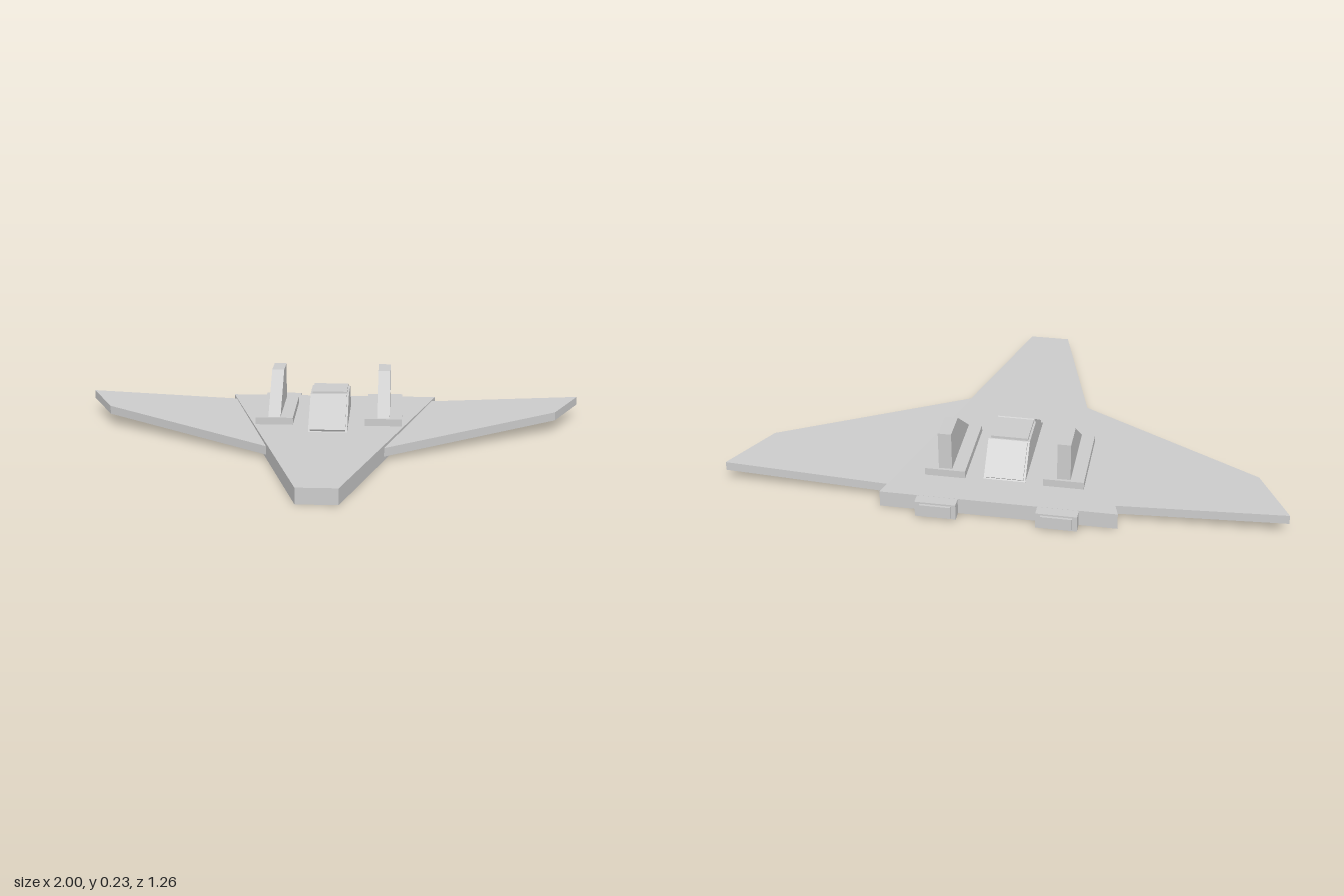
import * as THREE from 'three';

const material = new THREE.MeshStandardMaterial({ color: 0xcccccc, flatShading: true, side: THREE.DoubleSide });

function addPart(group, name, geometry) {
  const mesh = new THREE.Mesh(geometry, material);
  mesh.name = name;
  group.add(mesh);
  return mesh;
}

const outline = (points) => new THREE.Shape(points.map(([a, b]) => new THREE.Vector2(a, b)));

// Plan outline given as [x, z], thickened upwards from height y
function plate(points, y, thickness) {
  const shape = outline(points.map(([x, z]) => [x, -z]));
  return new THREE.ExtrudeGeometry(shape, { depth: thickness, bevelEnabled: false })
    .rotateX(-Math.PI / 2).translate(0, y, 0);
}

// Side outline given as [z, y], thickened across x around a centre
function sideProfile(points, centre, width) {
  return new THREE.ExtrudeGeometry(outline(points), { depth: width, bevelEnabled: false })
    .translate(0, 0, -width / 2).rotateY(-Math.PI / 2).translate(centre, 0, 0);
}

function box(x0, x1, y0, y1, z0, z1) {
  return new THREE.BoxGeometry(x1 - x0, y1 - y0, z1 - z0)
    .translate((x0 + x1) / 2, (y0 + y1) / 2, (z0 + z1) / 2);
}

export function createModel() {
  const model = new THREE.Group();
  model.name = 'deltaAircraft';

  addPart(model, 'fuselage', plate([[-0.075, 0.63], [0.075, 0.63], [0.42, -0.585], [-0.42, -0.585]], 0, 0.06));

  // Canopy body with raised window panels on its three upper faces
  const roof = [[-0.038, 0.06], [-0.205, 0.167], [-0.345, 0.167], [-0.445, 0.06]];
  const canopy = new THREE.Group();
  canopy.name = 'canopy';
  model.add(canopy);
  addPart(canopy, 'canopyBody', sideProfile(roof, 0, 0.15));
  ['windscreen', 'roofPanel', 'rearWindow'].forEach((name, i) => {
    const a = new THREE.Vector2(...roof[i]);
    const b = new THREE.Vector2(...roof[i + 1]);
    const along = b.clone().sub(a).normalize();
    const out = new THREE.Vector2(along.y, -along.x).multiplyScalar(0.009);
    a.addScaledVector(along, 0.005);
    b.addScaledVector(along, -0.005);
    const c = b.clone().add(out), d = a.clone().add(out);
    addPart(canopy, name, sideProfile([a, b, c, d].map((p) => [p.x, p.y]), 0, 0.135));
  });

  for (const [side, s] of [['left', 1], ['right', -1]]) {
    // Wing, tilted upwards towards the tip
    const wing = plate([[0.22, 0.118], [0.89, -0.305], [1, -0.53], [0.22, -0.53]].map(([x, z]) => [s * x, z]), 0.015, 0.033);
    const p = wing.attributes.position;
    for (let i = 0; i < p.count; i++) p.setY(i, p.getY(i) + (Math.abs(p.getX(i)) - 0.22) * 0.046);
    wing.computeVertexNormals();
    addPart(model, side + 'Wing', wing);

    // Tail fin on its footing
    const x = s * 0.2125;
    addPart(model, side + 'FinBase', box(x - 0.0725, x + 0.0725, 0.055, 0.088, -0.455, -0.135));
    addPart(model, side + 'Fin', sideProfile([[-0.14, 0.085], [-0.33, 0.232], [-0.445, 0.232], [-0.445, 0.085]], x, 0.048));

    // Stepped engine nozzle
    addPart(model, side + 'Nozzle', box(x - 0.0725, x + 0.0725, 0.0005, 0.0595, -0.625, -0.58));
    addPart(model, side + 'NozzleEnd', box(x - 0.055, x + 0.055, 0.007, 0.053, -0.634, -0.62));
  }
  return model;
}
